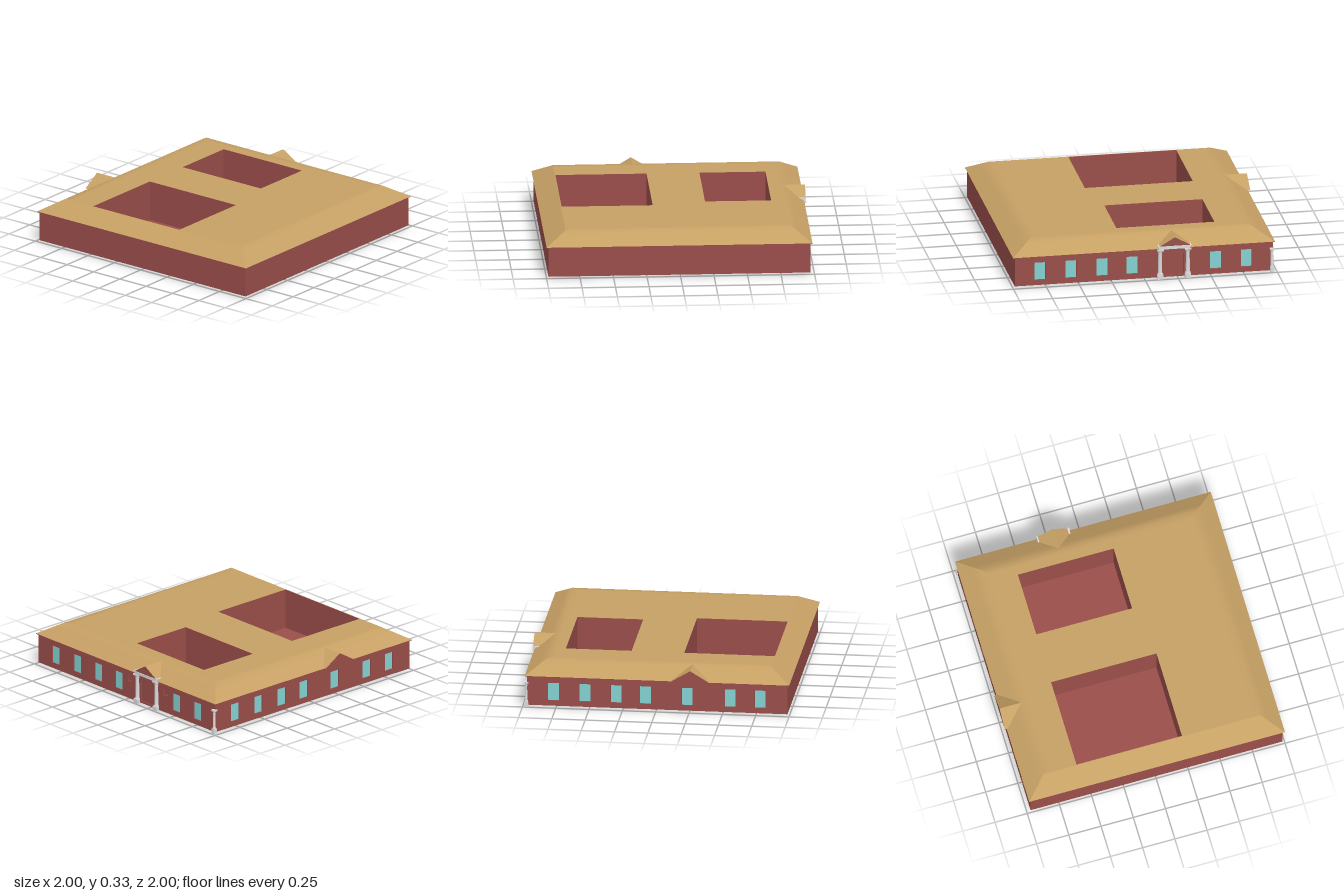
import * as THREE from 'three';

const mat = (name, color) => Object.assign(new THREE.MeshStandardMaterial({ color }), { name });

export function createModel() {
  const red = mat('brick red', 0x9a4e4a);
  const tan = mat('roof tan', 0xc6a064);
  const aqua = mat('window aqua', 0x84d2d2);
  const white = mat('column white', 0xdcdcdc);
  const model = new THREE.Group();
  model.name = 'courtyardBuilding';

  const add = (parent, name, geo, m, x = 0, y = 0, z = 0) => {
    const mesh = new THREE.Mesh(geo, m);
    mesh.name = name;
    mesh.position.set(x, y, z);
    parent.add(mesh);
    return mesh;
  };
  const box = (parent, name, m, x0, x1, y0, y1, z0, z1) =>
    add(parent, name, new THREE.BoxGeometry(x1 - x0, y1 - y0, z1 - z0), m,
      (x0 + x1) / 2, (y0 + y1) / 2, (z0 + z1) / 2);
  // Rectangle outline with an optional arched top
  const outline = (Type, x0, x1, y0, y1, rise = 0) => {
    const p = new Type();
    p.moveTo(x0, y0);
    p.lineTo(x1, y0);
    p.lineTo(x1, y1);
    if (rise) p.quadraticCurveTo((x0 + x1) / 2, y1 + 2 * rise, x0, y1);
    else p.lineTo(x0, y1);
    p.closePath();
    return p;
  };
  const extrude = (shape, depth) =>
    new THREE.ExtrudeGeometry(shape, { depth, bevelEnabled: false, curveSegments: 10 });

  // Ground slab, plain walls and soffit ring under the eaves
  const base = 0.01, eave = 0.24, top = 0.33;
  box(model, 'groundSlab', red, -0.985, 0.97, base, 0.025, -0.97, 0.985);
  box(model, 'frontWall', red, -0.985, 0.97, base, eave, 0.97, 0.985);
  box(model, 'leftWall', red, -0.985, -0.97, base, eave, -0.97, 0.985);
  const soffit = outline(THREE.Shape, -0.998, 0.983, -0.998, 0.983);
  soffit.holes.push(outline(THREE.Path, -0.96, 0.945, -0.96, 0.945));
  add(model, 'soffit', extrude(soffit, 0.006).rotateX(-Math.PI / 2), red, 0, 0.235, 0);

  // Walls with recessed openings; each opening is [centre, width, bottom, top, material, arch rise]
  const pierced = (name, x0, x1, openings) => {
    const g = new THREE.Group();
    g.name = name;
    const wall = outline(THREE.Shape, x0, x1, base, eave);
    for (const [c, w, y0, y1, m, rise] of openings) {
      wall.holes.push(outline(THREE.Path, c - w / 2, c + w / 2, y0, y1, rise));
      const label = m === aqua ? 'windowPane' : rise ? 'door' : 'niche';
      add(g, label, extrude(outline(THREE.Shape, c - w / 2, c + w / 2, y0, y1, rise), 0.006), m);
    }
    add(g, 'wall', extrude(wall, 0.015), red);
    model.add(g);
    return g;
  };
  const win = (c) => [c, 0.082, 0.052, 0.188, aqua];
  const right = pierced('rightWall', -0.985, 0.97, [
    ...[-0.794, -0.56, -0.323, -0.096, 0.537, 0.77].map(win),
    ...[0.026, 0.42].map((c) => [c, 0.05, 0.148, 0.19, red]),
    [0.222, 0.15, 0.014, 0.188, red, 0.014],
  ]);
  right.rotation.y = Math.PI / 2;
  right.position.x = 0.955;
  const back = pierced('backWall', -0.97, 0.985,
    [-0.77, -0.535, -0.3, -0.08, 0.233, 0.556, 0.78].map(win));
  back.rotation.y = Math.PI;
  back.position.z = -0.955;

  // Hipped roof: rings of [left, right, back, front, height], softened at the ridge
  const rings = [
    [-1, 0.985, -0.985, 1, eave],
    [-0.9, 0.888, -0.882, 0.9, 0.3],
    [-0.85, 0.84, -0.83, 0.85, top],
    [-0.8, 0.79, -0.78, 0.8, top],
  ];
  const corner = ([l, r, b, f, y], k) => [[l, y, f], [r, y, f], [r, y, b], [l, y, b]][k % 4];
  ['front', 'right', 'back', 'left'].forEach((side, i) => {
    const rows = i === 3 ? rings.slice(0, 3) : rings;
    const pos = [], idx = [];
    rows.forEach((ring, r) => {
      pos.push(...corner(ring, i), ...corner(ring, i + 1));
      const a = r * 2;
      if (r < rows.length - 1) idx.push(a, a + 1, a + 3, a, a + 3, a + 2);
    });
    const geo = new THREE.BufferGeometry();
    geo.setAttribute('position', new THREE.Float32BufferAttribute(pos, 3));
    geo.setIndex(idx);
    geo.computeVertexNormals();
    add(model, side + 'RoofSlope', geo, tan);
  });

  // Flat roof with two courtyards cut through it
  const flat = new THREE.Shape(
    [corner(rings[2], 0), ...[0, 1, 2, 3].map((k) => corner(rings[3], k)), corner(rings[2], 3)]
      .map(([x, , z]) => new THREE.Vector2(x, -z)));
  for (const [x0, x1, z0, z1] of [[-0.845, -0.165, -0.573, 0.245], [0.23, 0.723, -0.573, 0.17]]) {
    flat.holes.push(outline(THREE.Path, x0, x1, -z1, -z0));
    const e = 0.004;
    const ring = outline(THREE.Shape, x0 - e, x1 + e, -z1 - e, -z0 + e);
    ring.holes.push(outline(THREE.Path, x0, x1, -z1, -z0));
    add(model, 'courtyardWalls', extrude(ring, 0.309).rotateX(-Math.PI / 2), red, 0, 0.02, 0);
  }
  add(model, 'flatRoof', new THREE.ShapeGeometry(flat).rotateX(-Math.PI / 2), tan, 0, top, 0);

  // Gabled dormers: red gable face, tan slopes
  const gable = (name, half, foot, x, z, turn) => {
    const tri = new THREE.Shape();
    tri.moveTo(-half, foot);
    tri.lineTo(half, foot);
    tri.lineTo(0, top);
    tri.closePath();
    const mesh = add(model, name, extrude(tri, 0.17).translate(0, 0, -0.17), [red, tan], x, 0, z);
    mesh.rotation.y = turn;
  };
  gable('entranceGable', 0.127, 0.256, 0.998, -0.225, Math.PI / 2);
  gable('backGable', 0.14, 0.245, -0.258, -1, Math.PI);

  // Columns: square plinth, turned shaft, square capital
  const column = (name, x, z, h, w) => {
    const g = new THREE.Group();
    g.name = name;
    g.position.set(x, 0, z);
    model.add(g);
    const r = w / 2;
    box(g, 'plinth', white, -r, r, 0, 0.036, -r, r);
    const profile = [[0.95, 0.036], [0.95, 0.044], [0.7, 0.05], [0.72, 0.1], [0.62, h - 0.035],
      [0.8, h - 0.03], [0.65, h - 0.024], [0.95, h - 0.012]];
    add(g, 'shaft', new THREE.LatheGeometry(
      profile.map(([k, y]) => new THREE.Vector2(r * k, y)), 16), white);
    box(g, 'capital', white, -r * 1.1, r * 1.1, h - 0.012, h, -r * 1.1, r * 1.1);
  };
  for (const z of [-0.115, -0.325]) column('entranceColumn', 0.976, z, 0.237, 0.044);
  column('cornerColumn', 0.974, -0.963, 0.19, 0.03);

  // Entablature above the entrance columns
  box(model, 'entablature', white, 0.95, 0.996, 0.237, 0.256, -0.338, -0.102);
  box(model, 'cornice', white, 0.95, 1, 0.254, 0.263, -0.35, -0.098);

  return model;
}
